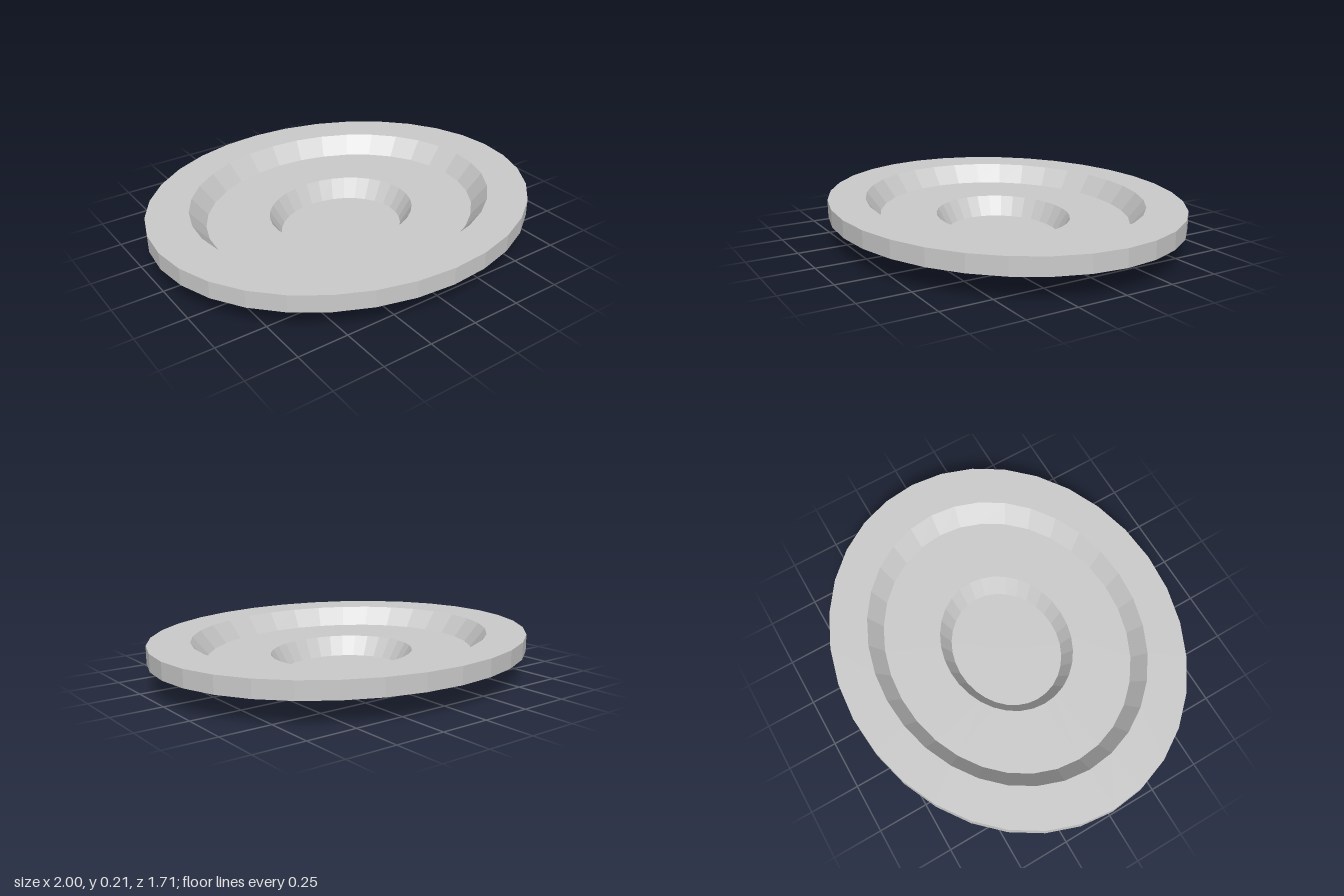
import * as THREE from 'three';

const SEGMENTS = 32;
const DEPTH = 0.857; // oval: z radius relative to x radius

export function createModel() {
  const model = new THREE.Group();
  model.name = 'ovalDish';
  const material = new THREE.MeshStandardMaterial({
    color: 0xcccccc, flatShading: true, side: THREE.DoubleSide,
  });

  // Revolve a radius/height profile and squash it to an oval
  const addRing = (name, profile) => {
    const points = profile.map(([r, y]) => new THREE.Vector2(r, y));
    const geometry = new THREE.LatheGeometry(points, SEGMENTS);
    geometry.scale(1, 1, DEPTH);
    const mesh = new THREE.Mesh(geometry, material);
    mesh.name = name;
    model.add(mesh);
  };

  // Thin open shell: foot, well, shelf and rim share their edges
  addRing('foot', [[0, 0], [0.48, 0], [0.32, 0.015]]);
  addRing('centreWell', [[0.32, 0.015], [0.38, 0.113]]);
  addRing('shelf', [[0.38, 0.113], [0.705, 0.113]]);
  addRing('shelfWall', [[0.705, 0.113], [0.785, 0.207]]);
  addRing('rim', [[0.785, 0.207], [1, 0.207]]);
  addRing('rimSkirt', [[1, 0.207], [1, 0.12]]);

  return model;
}
